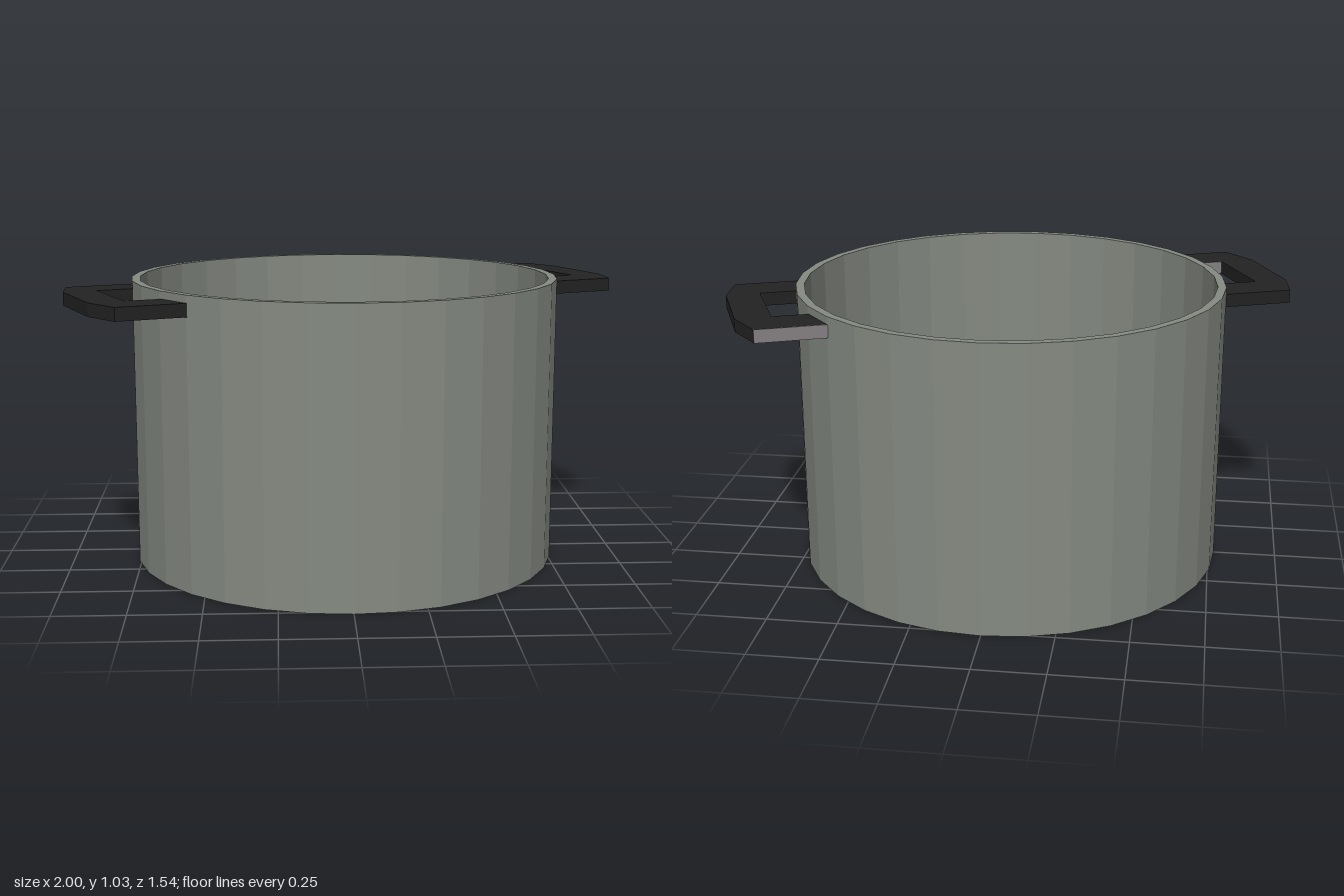
import * as THREE from 'three';

export function createModel() {
  const model = new THREE.Group();
  model.name = 'cookingPot';

  const mat = (name, color) => {
    const m = new THREE.MeshStandardMaterial({ color });
    m.name = name;
    m.flatShading = true;
    return m;
  };
  const steel = mat('steel grey', 0x858a82);
  const black = mat('handle black', 0x222222);
  const grey = mat('handle side grey', 0x858183);

  const add = (parent, geometry, material, name) => {
    const mesh = new THREE.Mesh(geometry, material);
    mesh.name = name;
    parent.add(mesh);
    return mesh;
  };

  // Pot: outer bottom and wall, flat rim, inner wall and floor in one faceted profile
  const R = 0.772, r = 0.742, H = 1.033, floor = 0.03;
  const profile = [[0, 0], [R, 0], [R, H], [r, H], [r, floor], [0, floor]]
    .map(([x, y]) => new THREE.Vector2(x, y));
  add(model, new THREE.LatheGeometry(profile, 32), steel, 'pot');

  // Handle outline seen from above as (x, z): a bracket whose ends sink into the wall
  const outline = [
    [0.535, -0.545], [0.77, -0.64], [0.87, -0.525], [0.99, -0.24], [1.0, -0.095],
    [0.76, 0.0], [0.75, -0.148], [0.877, -0.2], [0.754, -0.48], [0.625, -0.43],
  ].map(([x, z]) => new THREE.Vector2(x, z));
  const top = 1.006, thick = 0.047;
  const handleGeo = new THREE.ExtrudeGeometry(new THREE.Shape(outline), { depth: thick, bevelEnabled: false });
  handleGeo.rotateX(Math.PI / 2);
  handleGeo.translate(0, top, 0);

  // Thin grey plate on one vertical side of a handle arm
  const sidePlate = (parent, a, b) => {
    const plate = add(parent, new THREE.BoxGeometry(a.distanceTo(b), thick, 0.004), grey, 'handleSidePlate');
    plate.position.set((a.x + b.x) / 2, top - thick / 2, (a.y + b.y) / 2);
    plate.rotation.y = -Math.atan2(b.y - a.y, b.x - a.x);
  };

  // The second handle is the first turned half way round the pot
  ['leftHandle', 'rightHandle'].forEach((name, i) => {
    const handle = new THREE.Group();
    handle.name = name;
    add(handle, handleGeo, black, 'handleBar');
    if (i === 0) sidePlate(handle, outline[0], outline[1]);
    else sidePlate(handle, outline[8], outline[9]);
    handle.rotation.y = i * Math.PI;
    model.add(handle);
  });

  return model;
}
